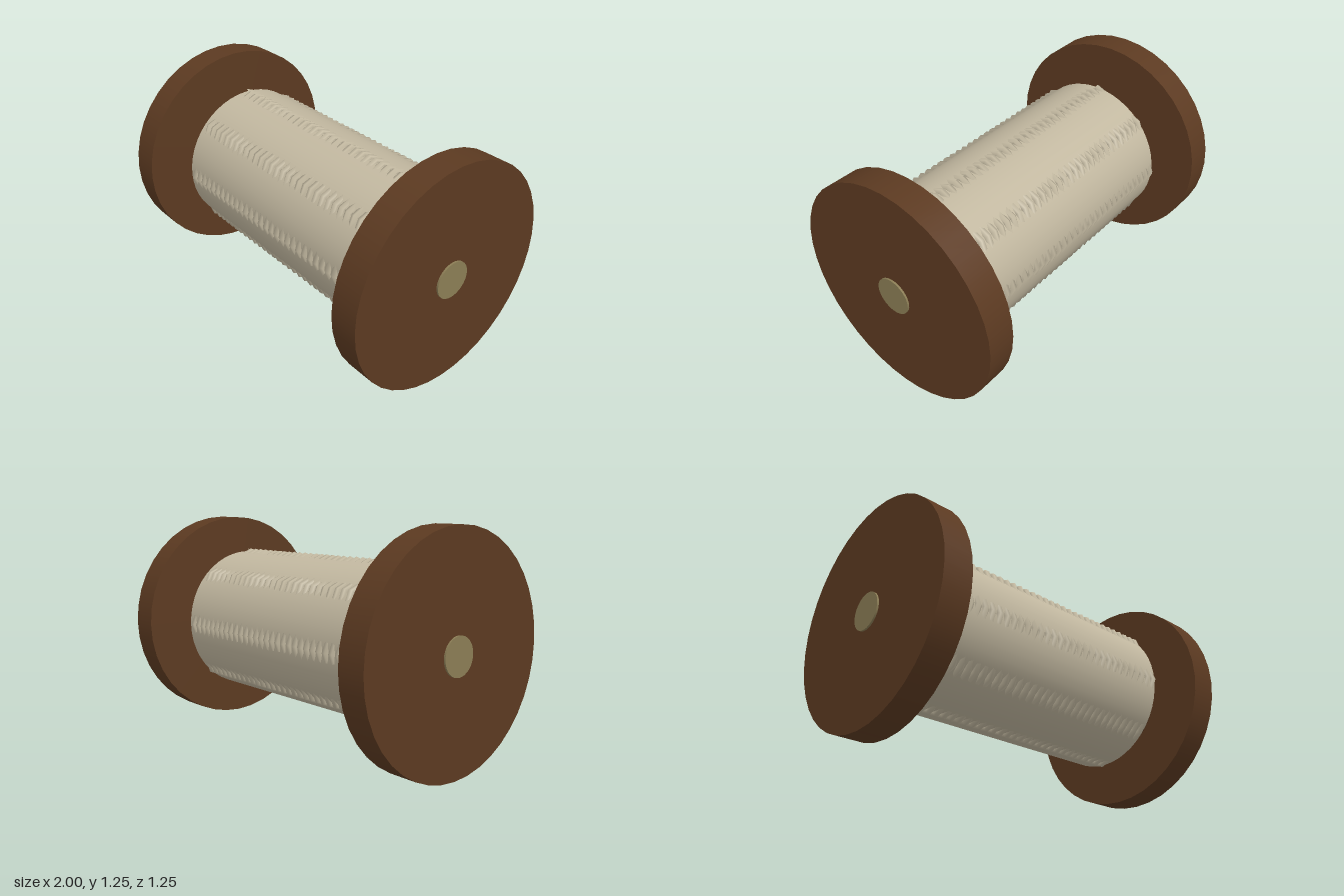
import * as THREE from 'three';

const AXIS_Y = 0.629;

const mat = (name, color) => {
  const m = new THREE.MeshStandardMaterial({ color });
  m.name = name;
  return m;
};

// Coarsely sampled helix running along x
class Helix extends THREE.Curve {
  constructor(radius, halfLength, turns) {
    super();
    Object.assign(this, { radius, halfLength, turns, arcLengthDivisions: 2400 });
  }
  getPoint(t, target = new THREE.Vector3()) {
    const a = t * this.turns * Math.PI * 2;
    return target.set(
      (t * 2 - 1) * this.halfLength,
      Math.cos(a) * this.radius,
      -Math.sin(a) * this.radius
    );
  }
}

export function createModel() {
  const wood = mat('dark wood', 0x5c3a21);
  const brass = mat('dull brass', 0x8b7d55);
  const thread = mat('cream thread', 0xc2b8a0);

  const spool = new THREE.Group();
  spool.name = 'spool';
  spool.position.y = AXIS_Y;

  // Cylinder lying along x
  const addCylinder = (name, radius, length, x, sides, material) => {
    const geometry = new THREE.CylinderGeometry(radius, radius, length, sides);
    geometry.rotateZ(Math.PI / 2);
    const mesh = new THREE.Mesh(geometry, material);
    mesh.name = name;
    mesh.position.x = x;
    spool.add(mesh);
  };

  // Core, axle and end flanges
  addCylinder('core', 0.324, 1.7, 0, 40, wood);
  addCylinder('axle', 0.103, 2, 0, 32, brass);
  addCylinder('leftFlange', 0.627, 0.162, 0.909, 40, wood);
  addCylinder('rightFlange', 0.627, 0.162, -0.909, 40, wood);

  // Wound thread: solid body with the top strand breaking its surface
  addCylinder('threadBody', 0.417, 1.44, 0, 48, thread);
  const strand = new THREE.Mesh(
    new THREE.TubeGeometry(new Helix(0.417, 0.71, 30), 240, 0.021, 6),
    thread
  );
  strand.name = 'threadStrand';
  spool.add(strand);

  const model = new THREE.Group();
  model.name = 'threadSpool';
  model.add(spool);
  return model;
}
